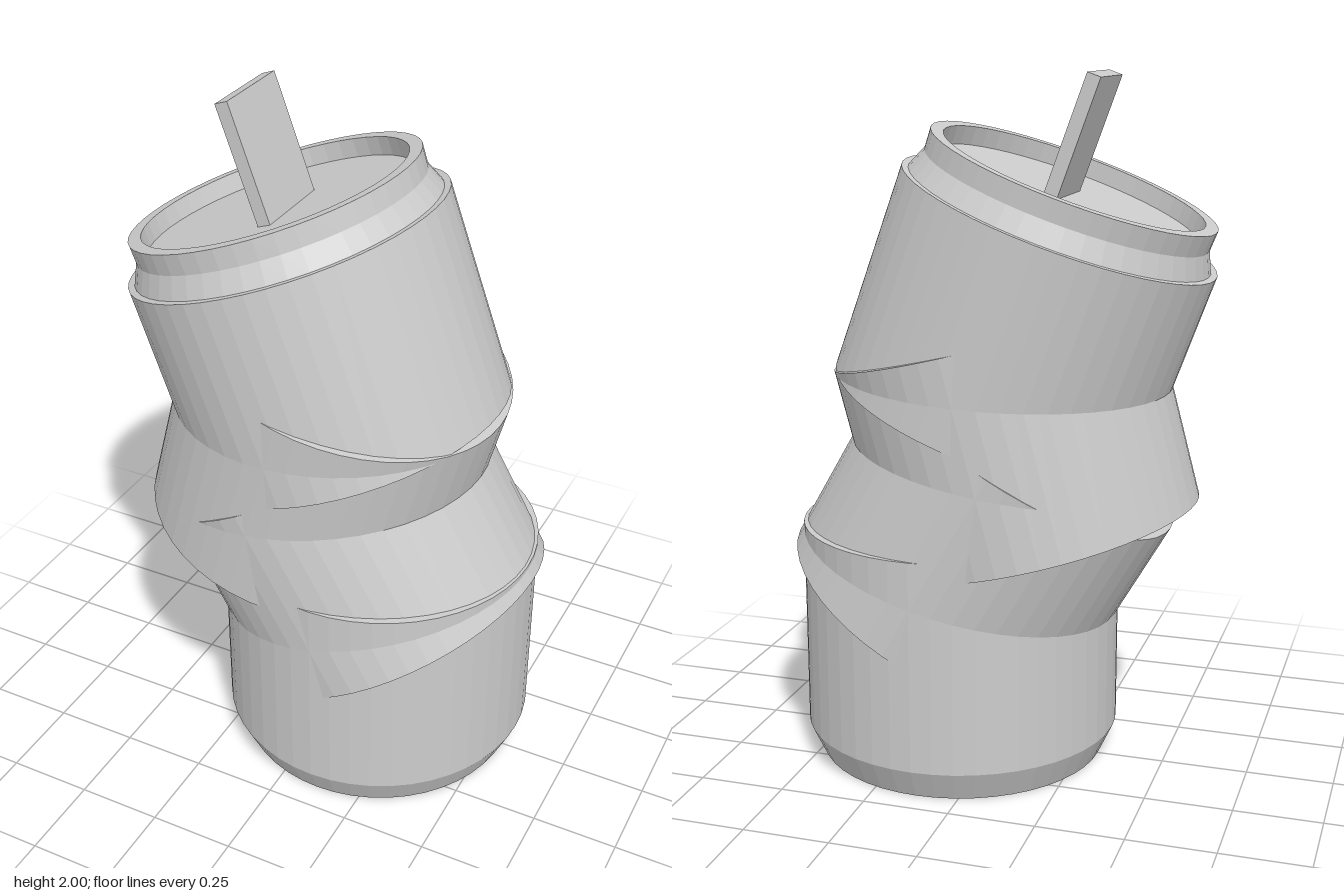
import * as THREE from 'three';

const SIDES = 48;
const R = 0.466;   // can radius
const LEN = 0.61;  // length of each straight wall section

export function createModel() {
  const can = new THREE.Group();
  can.name = 'crushedCan';
  const metal = new THREE.MeshStandardMaterial({ color: 0xcccccc, flatShading: true });

  // Adds a mesh to a parent under a plain name
  const add = (parent, name, geometry, x = 0, y = 0) => {
    const mesh = new THREE.Mesh(geometry, metal);
    mesh.name = name;
    mesh.position.set(x, y, 0);
    parent.add(mesh);
    return mesh;
  };

  // Solid of revolution from [radius, height] pairs, listed bottom to top
  const turned = (points) =>
    new THREE.LatheGeometry(points.map(([r, y]) => new THREE.Vector2(r, y)), SIDES);

  // Section of can wall standing on (x, y), leaning sideways by some degrees
  const section = (name, x, y, lean) => {
    const group = new THREE.Group();
    group.name = name;
    group.position.set(x, y, 0);
    group.rotation.z = THREE.MathUtils.degToRad(lean);
    add(group, name + 'Wall', new THREE.CylinderGeometry(R, R, LEN, SIDES), 0, LEN / 2);
    can.add(group);
    return group;
  };

  // Upright base with chamfered foot
  add(can, 'base', turned([[0, 0], [0.424, 0], [R, 0.09], [R, 0.705], [0, 0.705]]), 0.121, 0);

  // Buckled wall sections
  section('lowerFold', 0.2015, 0.427, 30);
  section('middleFold', -0.13, 0.684, -15);
  const top = section('upperSection', 0.034, 1.026, 20);

  // Neck, raised rim and recessed lid
  add(top, 'neckAndLid', turned([
    [0.447, 0], [0.42, 0.06], [0.422, 0.12], [0.385, 0.12], [0.385, 0.065], [0, 0.065],
  ]), 0, LEN);

  // Pull tab standing up from the lid
  add(top, 'pullTab', new THREE.BoxGeometry(0.04, 0.35, 0.254), 0.02, LEN + 0.236);

  return can;
}
